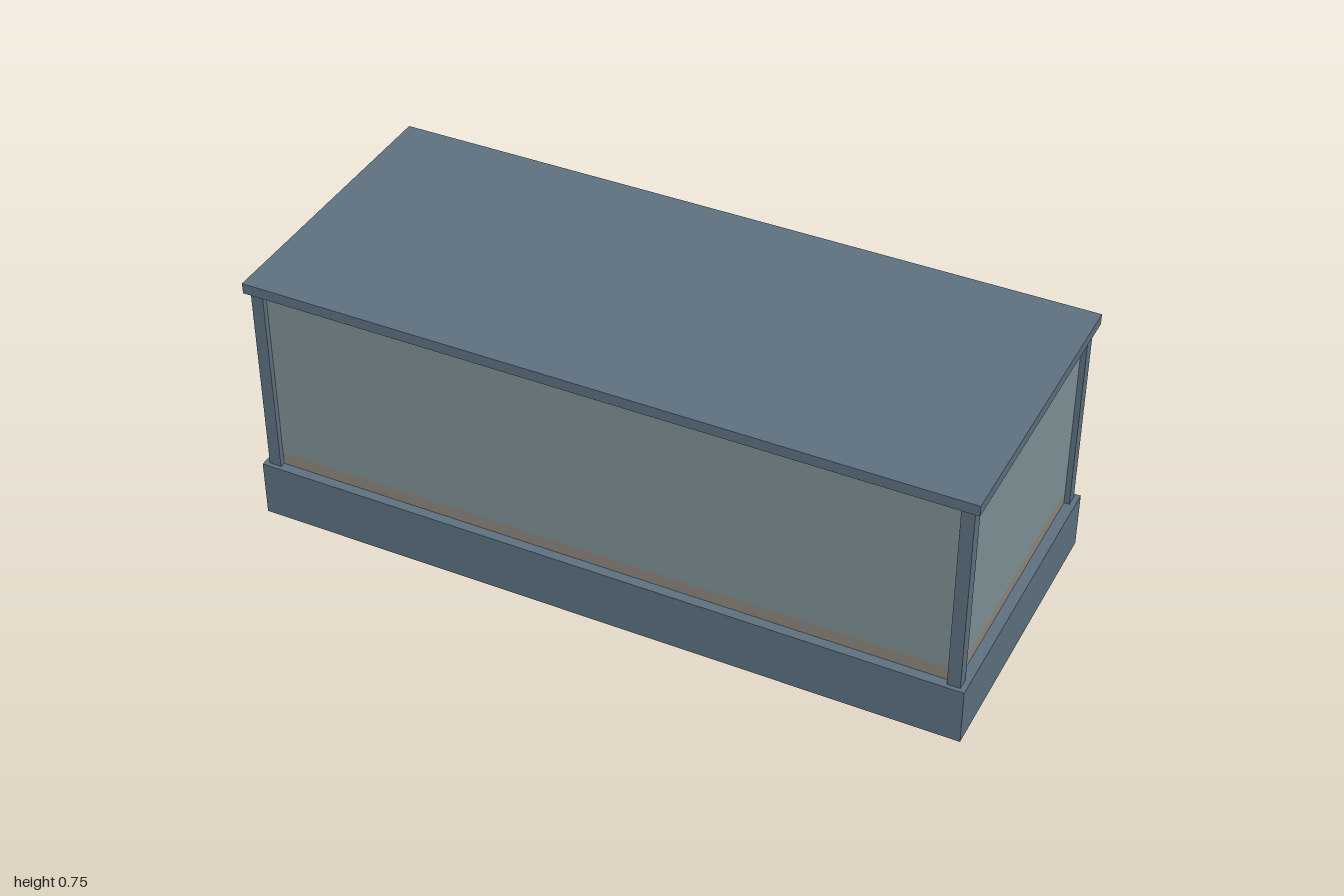
import * as THREE from 'three';

const frameMat = new THREE.MeshStandardMaterial({ color: 0x5f7282 });
frameMat.name = 'slate frame';
const glassMat = new THREE.MeshStandardMaterial({ color: 0x7f9398 });
glassMat.name = 'grey green glass';
const floorMat = new THREE.MeshStandardMaterial({ color: 0x8f887e });
floorMat.name = 'brown floor';
const plateMat = new THREE.MeshStandardMaterial({ color: 0xb3ada6 });
plateMat.name = 'pale plate';

// Box given by its centre in x and z, its bottom and its top
function box(name, mat, w, d, y0, y1, x = 0, z = 0) {
  const mesh = new THREE.Mesh(new THREE.BoxGeometry(w, y1 - y0, d), mat);
  mesh.position.set(x, (y0 + y1) / 2, z);
  mesh.name = name;
  return mesh;
}

export function createModel() {
  const model = new THREE.Group();
  model.name = 'displayCase';

  // The case sits slightly forward to leave room for the back plate
  const body = new THREE.Group();
  body.name = 'caseBody';
  body.position.z = 0.0075;
  model.add(body);

  const baseTop = 0.163, floorTop = 0.2, lidBottom = 0.72, lidTop = 0.75;
  const post = 0.035, postX = 0.9675, postZ = 0.388;
  const paneX = 0.965, paneZ = 0.385, thick = 0.01;

  body.add(box('base', frameMat, 2, 0.835, 0, baseTop));
  body.add(box('lid', frameMat, 2, 0.835, lidBottom, lidTop));

  // Floor layer, flush with the outside of the glass
  body.add(box('floorLayer', floorMat, 2 * paneX + thick, 2 * paneZ + thick, baseTop, floorTop));

  for (const s of [-1, 1]) {
    // Corner posts
    for (const t of [-1, 1]) {
      body.add(box('cornerPost', frameMat, post, post, baseTop, lidBottom, s * postX, t * postZ));
    }
    // Long and short panes
    body.add(box(s > 0 ? 'frontPane' : 'backPane', glassMat,
      2 * paneX, thick, floorTop, lidBottom, 0, s * paneZ));
    body.add(box(s > 0 ? 'leftPane' : 'rightPane', glassMat,
      thick, 2 * paneZ, floorTop, lidBottom, s * paneX, 0));
  }

  // Blank plate on the back of the base
  model.add(box('backPlate', plateMat, 0.38, 0.012, 0.052, 0.147, 0, -0.418));

  return model;
}
